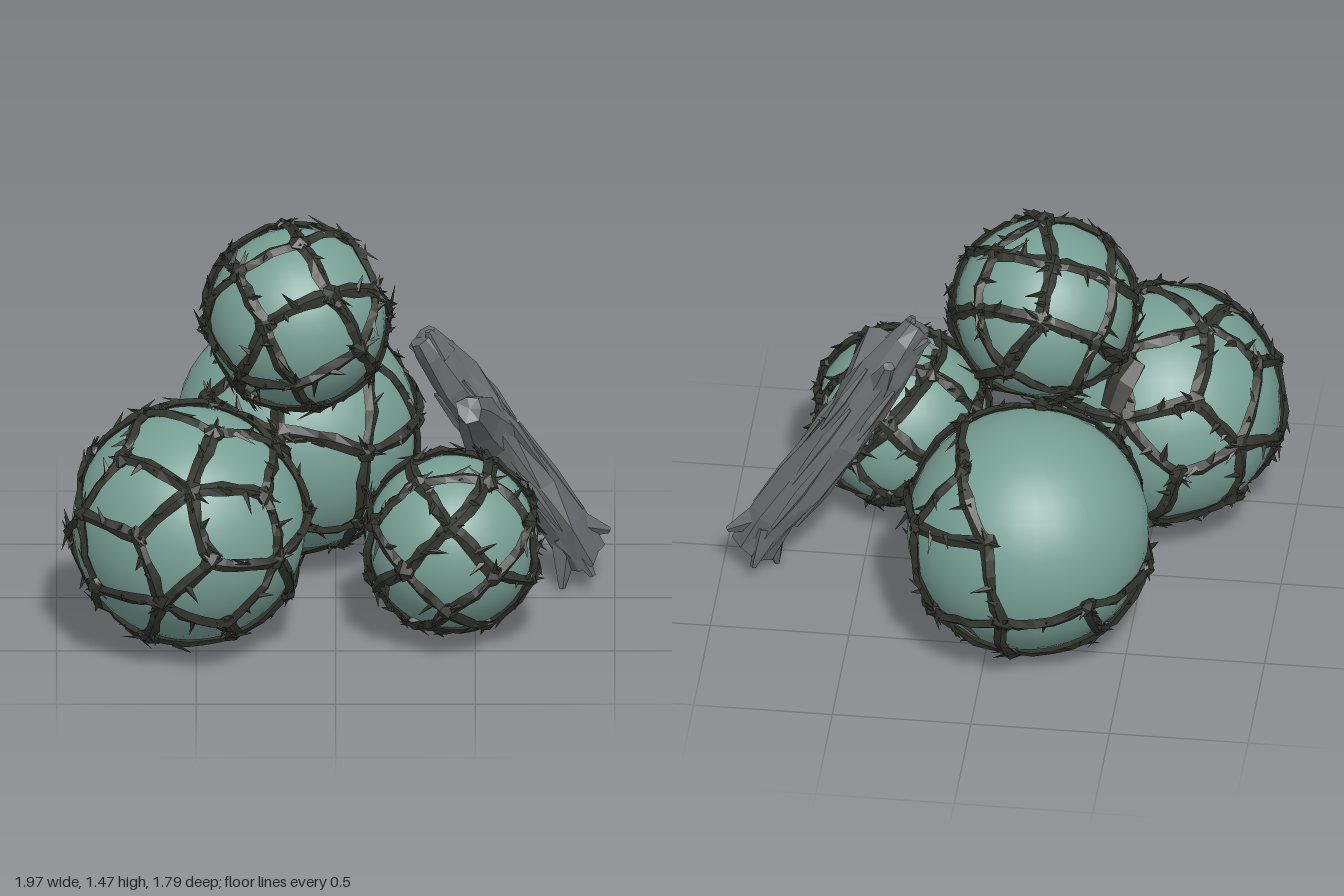
import * as THREE from 'three';
import { mergeGeometries } from 'three/addons/utils/BufferGeometryUtils.js';

const V = (x, y, z) => new THREE.Vector3(x, y, z);
const PHI = (1 + Math.sqrt(5)) / 2;

// Seeded random numbers in -1..1
let seed = 7;
const rnd = () => {
  seed = (seed * 16807) % 2147483647;
  return (seed / 2147483647) * 2 - 1;
};

// Rough faceted limb through points; ru and rv give half thickness along "up" and across it
function limb(points, ru, rv, upAt, sides, rough) {
  const rings = points.map((p, i) => {
    const next = points[Math.min(i + 1, points.length - 1)];
    const t = next.clone().sub(points[Math.max(i - 1, 0)]).normalize();
    const up = upAt(p);
    const u = up.clone().addScaledVector(t, -up.dot(t)).normalize();
    const v = t.clone().cross(u);
    return Array.from({ length: sides }, (_, j) => {
      const a = (j / sides) * Math.PI * 2;
      const k = 1 + rnd() * rough;
      return p.clone()
        .addScaledVector(u, Math.cos(a) * ru[i] * k)
        .addScaledVector(v, Math.sin(a) * rv[i] * k)
        .addScaledVector(t, rnd() * rough * rv[i] * 0.6);
    });
  });
  const tris = [];
  const last = rings.length - 1;
  for (let j = 0; j < sides; j++) {
    const n = (j + 1) % sides;
    for (let i = 0; i < last; i++) {
      const [a, b, c, d] = [rings[i][j], rings[i][n], rings[i + 1][n], rings[i + 1][j]];
      tris.push(a, b, c, a, c, d);
    }
    tris.push(points[0], rings[0][n], rings[0][j], points[last], rings[last][j], rings[last][n]);
  }
  const g = new THREE.BufferGeometry().setFromPoints(tris);
  g.computeVertexNormals();
  return g;
}

// Knot directions for a net of diamond meshes
function diamondKnots() {
  const out = [];
  for (const a of [-1, 1]) for (const b of [-1, 1]) {
    out.push(V(a, b, 1), V(a, b, -1));
    out.push(V(0, a / PHI, b * PHI), V(a / PHI, b * PHI, 0), V(b * PHI, 0, a / PHI));
    out.push(V(a, 0, b * PHI), V(0, b * PHI, a), V(b * PHI, a, 0));
  }
  return out;
}

// Knot directions for a net of mostly square meshes
function squareKnots() {
  const out = [];
  const s = 1 + Math.SQRT2;
  for (const a of [-1, 1]) for (const b of [-1, 1]) for (const c of [-1, 1])
    out.push(V(a * s, b, c), V(a, b * s, c), V(a, b, c * s));
  return out;
}

// Rope net around a ball; strands near the bare direction are left out
function netGeometry(r, knots, turn, bare) {
  const parts = [];
  const radial = (p) => p.clone().normalize();
  const dirs = knots.map((k) => k.clone().normalize());
  const step = Math.min(...dirs.slice(1).map((d) => d.distanceTo(dirs[0])));
  const placed = dirs.map((d) => d.clone().applyEuler(turn)
    .add(V(rnd(), rnd(), rnd()).multiplyScalar(0.06)).normalize());
  const isBare = (d) => bare && d.dot(bare) > 0.86;
  const tangentAt = (n) => V(rnd(), rnd(), rnd()).cross(n).normalize();

  // loose fibre ends
  const fray = (n) => {
    const p = n.clone().multiplyScalar(r + 0.016);
    const end = p.clone().addScaledVector(tangentAt(n), 0.06 + 0.03 * rnd())
      .addScaledVector(n, 0.014 + 0.014 * rnd());
    parts.push(limb([p, end], [0.009, 0.001], [0.018, 0.001], radial, 3, 0.2));
  };

  placed.forEach((n, i) => {
    if (isBare(n)) return;
    // knot
    const p = n.clone().multiplyScalar(r + 0.012);
    const t = tangentAt(n).multiplyScalar(0.036);
    parts.push(limb([p.clone().sub(t), p, p.clone().add(t)],
      [0.012, 0.026, 0.012], [0.02, 0.038, 0.02], radial, 5, 0.35));
    for (let k = 0; k < 4; k++) fray(n);
    // strands to the neighbouring knots
    for (let j = i + 1; j < placed.length; j++) {
      if (dirs[i].distanceTo(dirs[j]) > step * 1.05) continue;
      const mid = n.clone().add(placed[j]).normalize();
      if (isBare(mid) || isBare(placed[j])) continue;
      const bend = tangentAt(mid).multiplyScalar(0.03);
      const path = [0, 0.2, 0.4, 0.6, 0.8, 1].map((f) => n.clone().lerp(placed[j], f)
        .addScaledVector(bend, Math.sin(f * Math.PI)).normalize()
        .multiplyScalar(r + 0.011 + 0.006 * rnd()));
      parts.push(limb(path, path.map(() => 0.015), path.map(() => 0.025), radial, 4, 0.3));
      fray(mid);
      fray(n.clone().lerp(placed[j], 0.3).normalize());
    }
  });
  return mergeGeometries(parts);
}

// Forked, splintered piece of wood
function woodGeometry() {
  const up = () => V(0.3, 0.2, 1);
  const parts = [];
  const trunk = [V(0.89, 0.11, -0.13), V(0.81, 0.25, -0.125), V(0.71, 0.4, -0.11), V(0.58, 0.6, -0.09),
    V(0.5, 0.72, -0.07), V(0.42, 0.84, -0.04), V(0.35, 0.96, -0.01), V(0.31, 1.02, 0.01)];
  parts.push(limb(trunk, [0.085, 0.1, 0.1, 0.1, 0.1, 0.09, 0.065, 0.04],
    [0.085, 0.085, 0.085, 0.09, 0.1, 0.09, 0.07, 0.05], up, 9, 0.2));
  // side branch and stub
  parts.push(limb([V(0.55, 0.62, -0.07), V(0.51, 0.71, 0.03), V(0.49, 0.78, 0.13), V(0.48, 0.83, 0.22)],
    [0.1, 0.075, 0.06, 0.05], [0.11, 0.085, 0.06, 0.05], () => V(1, 0, 0), 7, 0.2));
  parts.push(limb([V(0.48, 0.74, -0.06), V(0.43, 0.85, -0.1), V(0.4, 0.94, -0.14)],
    [0.06, 0.045, 0.025], [0.07, 0.05, 0.02], () => V(1, 0, 0), 6, 0.2));
  // broad splinters on the broken ends
  const splinters = [
    [0.86, 0.24, -0.13, 0.98, 0.2, -0.17], [0.82, 0.18, -0.11, 0.81, 0.01, -0.08],
    [0.84, 0.22, -0.16, 0.88, 0.07, -0.21], [0.82, 0.22, -0.08, 0.92, 0.07, -0.05],
    [0.37, 0.95, 0, 0.33, 1.05, 0.02], [0.38, 0.9, -0.03, 0.27, 0.98, -0.02]];
  for (const [a, b, c, d, e, f] of splinters)
    parts.push(limb([V(a, b, c), V(d, e, f)], [0.055, 0.012], [0.055, 0.012], up, 5, 0.2));
  // raised bark ridges
  for (let i = 0; i < 12; i++) {
    const a = (i / 12) * Math.PI * 2;
    const s = i % 3;
    const off = V(Math.cos(a) * 0.075, Math.cos(a) * 0.048, Math.sin(a) * 0.09);
    const path = [s + 1, s + 2, s + 3].map((k) => trunk[k].clone().add(off));
    parts.push(limb(path, [0.006, 0.016, 0.006], [0.006, 0.02, 0.006], up, 4, 0.3));
  }
  return mergeGeometries(parts);
}

export function createModel() {
  seed = 7;
  const glass = new THREE.MeshStandardMaterial({ color: 0x779f94 });
  glass.name = 'sea green glass';
  const rope = new THREE.MeshStandardMaterial({ color: 0x31332d, flatShading: true });
  rope.name = 'dark rope';
  const wood = new THREE.MeshStandardMaterial({ color: 0x65686a, flatShading: true });
  wood.name = 'grey wood';

  const model = new THREE.Group();
  model.name = 'netFloats';
  const euler = (x, y, z) => new THREE.Euler(x, y, z);
  const floats = [
    { name: 'frontRightFloat', at: [-0.525, 0.47, 0.42], r: 0.42, knots: diamondKnots(), turn: euler(0.3, 0.3, 0.2) },
    { name: 'backFloat', at: [-0.14, 0.485, -0.44], r: 0.435, knots: squareKnots(), turn: euler(0.15, 0.2, -0.2),
      bare: V(-0.5, 0.7, -0.42).normalize() },
    { name: 'topFloat', at: [-0.14, 1.115, 0.045], r: 0.32, knots: squareKnots(), turn: euler(0.7, 0.5, 0.2) },
    { name: 'frontLeftFloat', at: [0.415, 0.375, 0.36], r: 0.31, knots: squareKnots(), turn: euler(0, 0, Math.PI / 4) },
  ];
  for (const f of floats) {
    const group = new THREE.Group();
    group.name = f.name;
    group.position.set(...f.at);
    const ball = new THREE.Mesh(new THREE.SphereGeometry(f.r, 32, 20), glass);
    ball.name = 'glassBall';
    const net = new THREE.Mesh(netGeometry(f.r, f.knots, f.turn, f.bare), rope);
    net.name = 'ropeNet';
    group.add(ball, net);
    model.add(group);
  }

  // matted rope where the large floats meet
  const mat = new THREE.Mesh(limb([V(-0.46, 0.83, 0.16), V(-0.41, 0.77, 0.1), V(-0.38, 0.68, 0.05)],
    [0.02, 0.02, 0.02], [0.05, 0.06, 0.05], () => V(0.26, 0.65, -0.72), 6, 0.2), rope);
  mat.name = 'ropeMat';
  model.add(mat);

  const log = new THREE.Mesh(woodGeometry(), wood);
  log.name = 'driftwood';
  model.add(log);
  return model;
}
